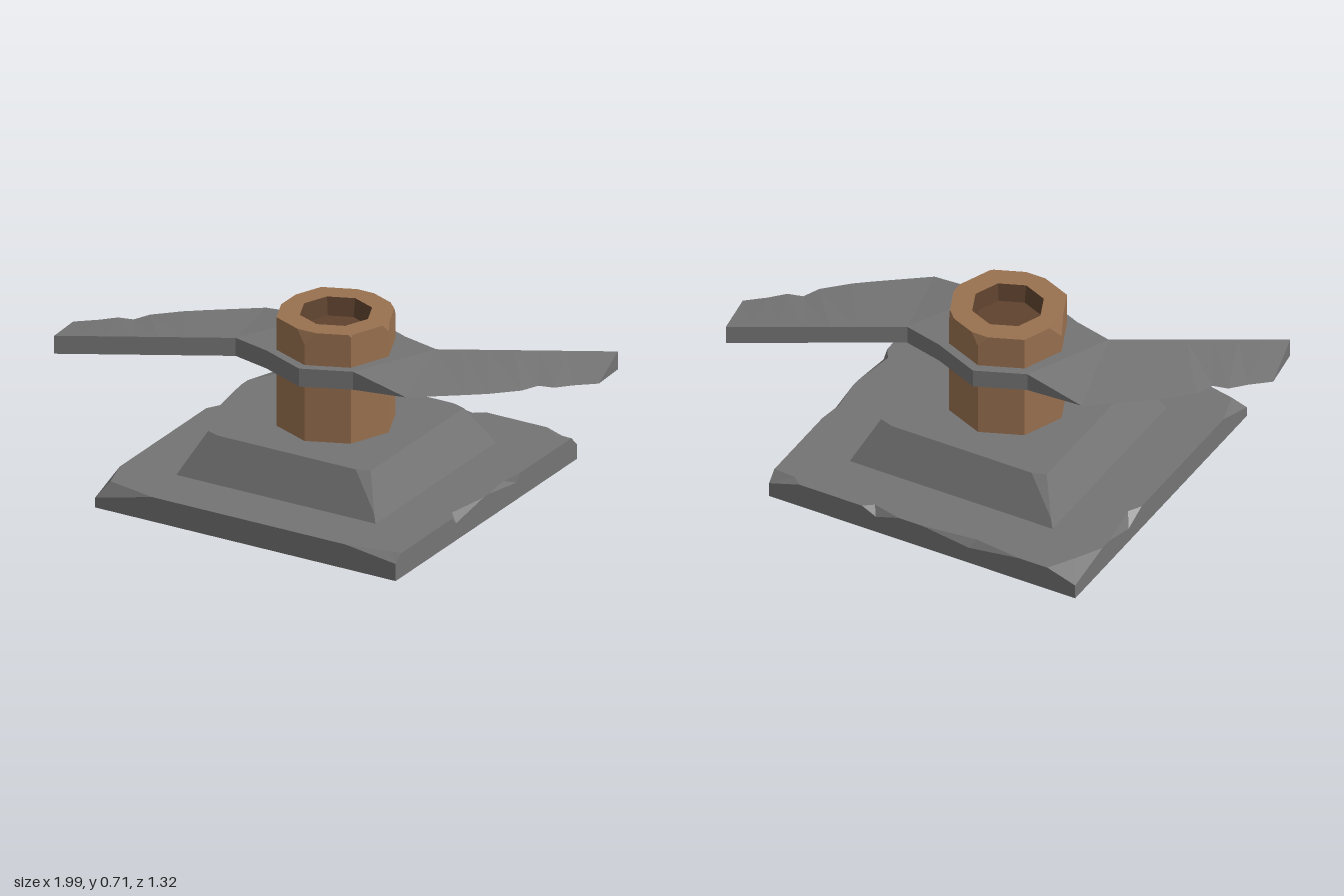
import * as THREE from 'three';

const mat = (name, color) => {
  const m = new THREE.MeshStandardMaterial({ color, side: THREE.DoubleSide, flatShading: true });
  m.name = name;
  return m;
};

// Flat-faced geometry from polygons, each a loop of [x, y, z] corners fanned from the first
function facets(polys) {
  const pos = [];
  for (const p of polys)
    for (let i = 1; i < p.length - 1; i++) pos.push(...p[0], ...p[i], ...p[i + 1]);
  const g = new THREE.BufferGeometry();
  g.setAttribute('position', new THREE.Float32BufferAttribute(pos, 3));
  g.computeVertexNormals();
  return g;
}

export function createModel() {
  const stone = mat('grey stone', 0x747474);
  const wood = mat('brown wood', 0x98704f);
  const dark = mat('dark wood', 0x5f422e);
  const model = new THREE.Group();
  const add = (name, geometry, material, parent = model) => {
    const m = new THREE.Mesh(geometry, material);
    m.name = name;
    parent.add(m);
  };

  // Base plate: an open shell whose top rim is chipped.
  // Each chip: start a, lowest point m (with height), end b, inset point n
  const R = 0.66, H = 0.1;
  const chips = [
    { a: [0.44, R], m: [R, 0.07, R], b: [R, 0.62], n: [0.62, 0.625] },
    { a: [R, 0.25], m: [R, 0.07, 0.22], b: [R, 0.02], n: [0.63, 0.2] },
    { a: [R, -0.02], m: [R, 0.07, -0.22], b: [R, -0.25], n: [0.645, -0.15] },
    { a: [R, -0.62], m: [R, 0.06, -R], b: [0.53, -R], n: [0.57, -0.625] },
    { a: [0.26, -R], m: [0.2, 0.07, -R], b: [0.1, -R], n: [0.22, -0.63] },
    { a: [0, -R], m: [-0.2, 0.07, -R], b: [-0.42, -R], n: [-0.22, -0.635] },
    { a: [-0.54, -R], m: [-R, 0.06, -R], b: [-R, -0.45], n: [-0.6, -0.56] },
    { a: [-R, -0.4], m: [-R, 0.06, -0.25], b: [-R, -0.15], n: [-0.63, -0.2] },
    { a: [-R, 0.48], m: [-R, 0.04, R], b: [-0.41, R], n: [-0.62, 0.615] },
  ];
  const rim = [], topLoop = [], plateFaces = [];
  for (const { a, m, b, n } of chips) {
    const [A, B, N] = [a, b, n].map(([x, z]) => [x, H, z]);
    rim.push(A, m, B);
    topLoop.push(a, n, b);
    plateFaces.push([A, m, N], [m, B, N]);
  }
  rim.forEach((p, i) => {
    const q = rim[(i + 1) % rim.length];
    plateFaces.push([[p[0], 0, p[2]], [q[0], 0, q[2]], q, p]);
  });
  const base = new THREE.Group();
  base.name = 'base';
  model.add(base);
  add('plateRim', facets(plateFaces), stone, base);

  const F = 0.437;
  const loop = pts => pts.map(([x, z]) => new THREE.Vector2(x, -z));
  const top = new THREE.Shape(loop(topLoop));
  top.holes.push(new THREE.Path(loop([[F, F], [-F, F], [-F, -F], [F, -F]])));
  add('plateTop', new THREE.ShapeGeometry(top).rotateX(-Math.PI / 2).translate(0, H, 0), stone, base);

  // Sloped plinth with its upper corners cut
  const T = 0.357, Y = 0.262, cut = 0.055;
  const plinth = [], cap = [];
  const corners = [[1, 1], [1, -1], [-1, -1], [-1, 1]].map(([x, z], i) => {
    const k = F + (T - F) * 0.2;
    const alongX = [x * (T - cut), Y, z * T], alongZ = [x * T, Y, z * (T - cut / 3)];
    return {
      foot: [x * F, H, z * F], low: [x * k, H + (Y - H) * 0.2, z * k],
      from: i % 2 ? alongZ : alongX, to: i % 2 ? alongX : alongZ,
    };
  });
  corners.forEach((c, i) => {
    const d = corners[(i + 1) % 4];
    plinth.push([c.foot, d.foot, d.low, d.from, c.to, c.low], [c.from, c.low, c.to]);
    cap.push(c.from, c.to);
  });
  plinth.push(cap);
  add('plinth', facets(plinth), stone, base);

  // Octagonal post with chipped top corners and a shallow socket
  const r = 0.231, hole = 0.14, postTop = 0.708, floorY = 0.635;
  const ring = (i, rad, y) => {
    const t = i * Math.PI / 4;
    return [rad * Math.cos(t), y, -rad * Math.sin(t)];
  };
  const mix = (p, q, t) => p.map((v, k) => v + (q[k] - v) * t);
  const chip = [0.15, 0.18, 0.22, 0, 0.32, 0, 0.25, 0.05];
  const post = [], socket = [], floor = [];
  for (let i = 0; i < 8; i++) {
    const j = (i + 1) % 8;
    const p = ring(i, r, postTop), q = ring(j, r, postTop), o = ring(i - 1, r, postTop);
    const pIn = mix(p, o, chip[i]), pOut = mix(p, q, chip[i]), qIn = mix(q, p, chip[j]);
    const pLow = ring(i, r, postTop - 0.2 * chip[i]), qLow = ring(j, r, postTop - 0.2 * chip[j]);
    const hp = ring(i, hole, postTop), hq = ring(j, hole, postTop);
    const fp = ring(i, hole - 0.012, floorY), fq = ring(j, hole - 0.012, floorY);
    post.push([ring(i, r, 0.25), ring(j, r, 0.25), qLow, qIn, pOut, pLow]);
    post.push([pIn, pLow, pOut], [hp, pIn, pOut], [hp, pOut, qIn, hq]);
    socket.push([hp, hq, fq, fp]);
    floor.push(fp);
  }
  add('post', facets(post), wood);
  add('postSocket', facets([...socket, floor]), dark);

  // Two-armed blade: thick spine and hub, arms thinning to a nicked cutting edge
  const mid = 0.5375, half = 0.037;
  const edge = [[0.44, 0.22], [0.62, 0.085], [0.69, 0.03], [0.78, -0.06], [0.81, -0.13],
    [0.87, -0.145], [0.92, -0.2], [0.995, -0.265]];
  const tip = [0.945, -0.485], root = [0.35, -0.15];
  const hubSide = [[0.19, -0.19], [0, -0.27], [-0.19, -0.19]];
  const outline = [], blade = [];
  for (const s of [1, -1]) {
    const up = ([x, z], h = half) => [s * x, mid + h, s * z];
    const both = poly => blade.push(poly,
      poly.map(([x, y, z]) => [x, 2 * mid - y, z]).reverse());
    const spine = i => up(mix(root, tip, i / (edge.length - 1)));
    edge.forEach((e, i) => {
      if (i) both([spine(i - 1), up(edge[i - 1], 0), up(e, 0), spine(i)]);
    });
    both([up([0.19, 0.19]), up(edge[0], 0), up(root)]);
    const hub = [[0.19, 0.19], root, ...hubSide];
    hub.forEach((p, i) => { if (i) both([up([0, 0]), up(hub[i - 1]), up(p)]); });
    both([up([0, 0]), up([-0.19, -0.19]), up([-0.35, 0.15])]);
    outline.push(...edge.map(e => up(e, 0)), ...[tip, root, ...hubSide].map(p => up(p)));
  }
  outline.forEach((p, i) => {
    const q = outline[(i + 1) % outline.length];
    const down = ([x, y, z]) => [x, 2 * mid - y, z];
    blade.push([down(p), down(q), q, p]);
  });
  add('blade', facets(blade), stone);

  return model;
}
